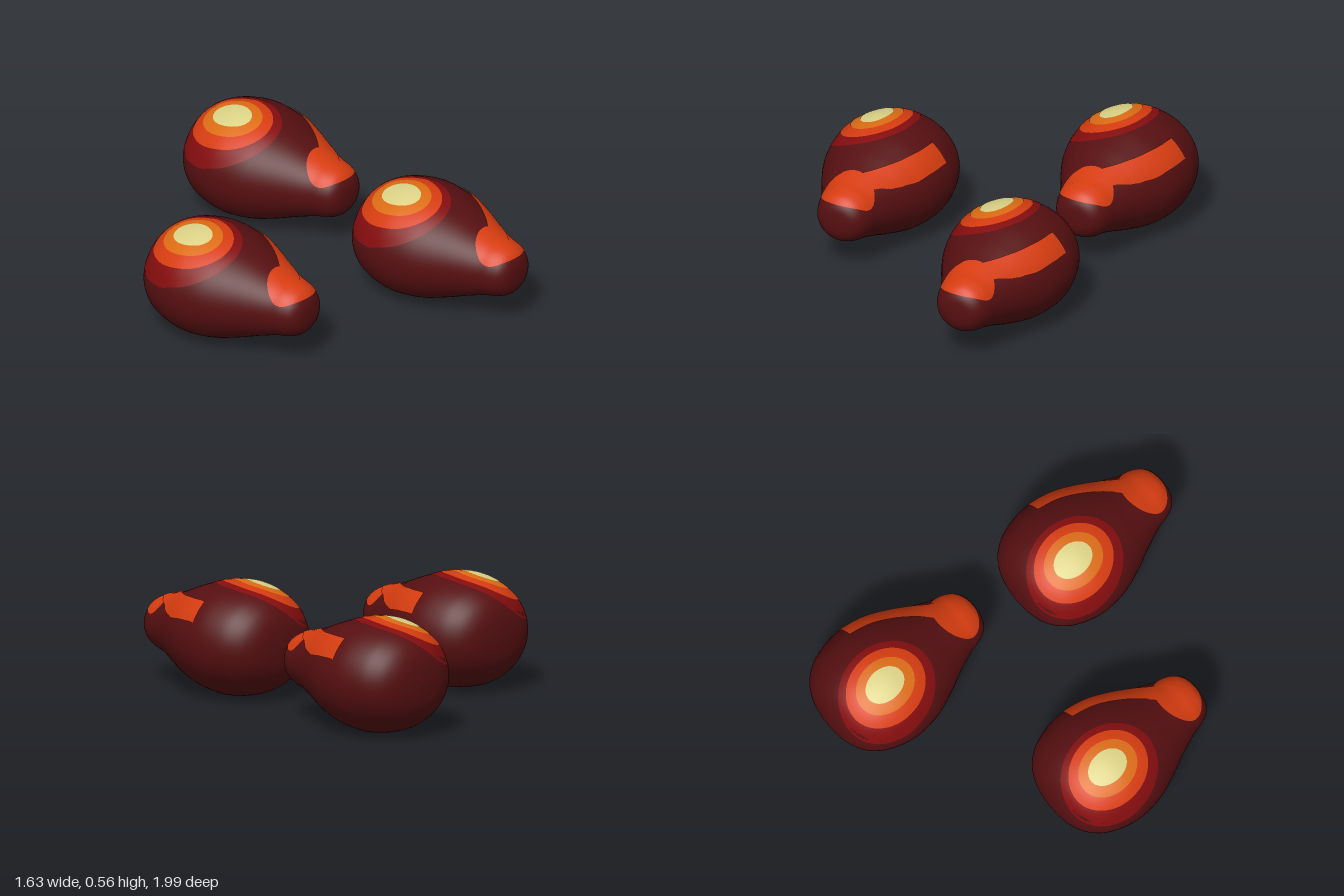
import * as THREE from 'three';
import { mergeVertices } from 'three/addons/utils/BufferGeometryUtils.js';

const mat = (name, color) => new THREE.MeshStandardMaterial({ name, color });
const CY = 0.273; // height of the long axis

// Half width along the long axis: back, belly, neck, tip
const profile = new THREE.SplineCurve([
  [0, -0.452], [0.12, -0.44], [0.2, -0.405], [0.255, -0.35], [0.287, -0.29], [0.311, -0.2],
  [0.314, -0.12], [0.295, -0.01], [0.25, 0.1], [0.2, 0.2], [0.157, 0.3], [0.14, 0.36],
  [0.115, 0.41], [0.07, 0.44], [0, 0.448],
].map(([r, z]) => new THREE.Vector2(r, z))).getPoints(90);
profile[0].x = profile[90].x = 0;

const flatness = (z) => THREE.MathUtils.lerp(0.87, 0.95, THREE.MathUtils.smoothstep(z, 0, 0.4));

function radiusAt(z) {
  const i = Math.max(1, profile.findIndex((p) => p.y >= z));
  const a = profile[i - 1], b = profile[i];
  return THREE.MathUtils.lerp(a.x, b.x, (z - a.y) / (b.y - a.y));
}

// Rewrite every vertex of a geometry by a rule
function reshape(geo, rule) {
  const p = geo.attributes.position, v = new THREE.Vector3();
  for (let i = 0; i < p.count; i++) {
    rule(v.fromBufferAttribute(p, i));
    p.setXYZ(i, v.x, v.y, v.z);
  }
  geo.computeVertexNormals();
  return geo;
}

// Lay a point on the upper skin, lifted by a small amount
function onSkin(v, x, z, lift) {
  const r = radiusAt(z);
  const s = THREE.MathUtils.clamp(x / r, -0.985, 0.985);
  const c = Math.sqrt(1 - s * s);
  v.set((r + lift) * s, CY + (r * flatness(z) + lift) * c, z);
}

function bodyGeometry() {
  let geo = new THREE.LatheGeometry(profile, 64).rotateX(Math.PI / 2);
  geo.deleteAttribute('uv');
  geo.deleteAttribute('normal');
  geo = mergeVertices(geo, 1e-5);
  return reshape(geo, (v) => { v.y = CY + v.y * flatness(v.z); });
}

function spotGeometry(cx, cz, rx, rz, lift) {
  return reshape(new THREE.RingGeometry(0, 1, 64, 14), (v) =>
    onSkin(v, cx + v.x * rx, cz - v.y * rz, lift));
}

// Side stripe: z, inner x, outer x
const stripePath = new THREE.CatmullRomCurve3([
  [-0.14, 0.215, 0.29], [-0.04, 0.197, 0.276], [0.06, 0.156, 0.245], [0.14, 0.107, 0.203],
  [0.2, 0.06, 0.165], [0.25, 0.01, 0.125], [0.3, -0.045, 0.09], [0.36, -0.06, 0.03],
].map((a) => new THREE.Vector3(...a)));

function stripeGeometry(lift) {
  return reshape(new THREE.PlaneGeometry(1, 1, 8, 40), (v) => {
    const row = stripePath.getPoint(0.5 - v.y);
    onSkin(v, THREE.MathUtils.lerp(row.y, row.z, v.x + 0.5), row.x, lift);
  });
}

export function createModel() {
  const model = new THREE.Group();
  model.name = 'pods';
  const maroon = mat('maroon', 0x560f11);
  const red = mat('dark red', 0x840d0e);
  const vermilion = mat('vermilion', 0xd63c10);
  const amber = mat('amber', 0xdc6c14);
  const cream = mat('cream', 0xdbd286);

  const parts = [
    ['body', bodyGeometry(), maroon],
    // Concentric spots on the back
    ['outerRing', spotGeometry(-0.102, -0.18, 0.203, 0.248, 0.002), red],
    ['middleRing', spotGeometry(-0.097, -0.183, 0.163, 0.205, 0.004), vermilion],
    ['innerRing', spotGeometry(-0.096, -0.185, 0.117, 0.153, 0.006), amber],
    ['spotCentre', spotGeometry(-0.095, -0.187, 0.072, 0.103, 0.008), cream],
    // Tip patch with the stripe running into it
    ['tipPatch', spotGeometry(0.003, 0.328, 0.13, 0.103, 0.004), vermilion],
    ['sideStripe', stripeGeometry(0.007), vermilion],
  ];

  for (const [x, z] of [[-0.5, -0.003], [0.496, -0.548], [0.408, 0.542]]) {
    const pod = new THREE.Group();
    pod.name = 'pod';
    for (const [name, geo, material] of parts) {
      const mesh = new THREE.Mesh(geo, material);
      mesh.name = name;
      pod.add(mesh);
    }
    pod.position.set(x, 0, z);
    model.add(pod);
  }
  return model;
}
